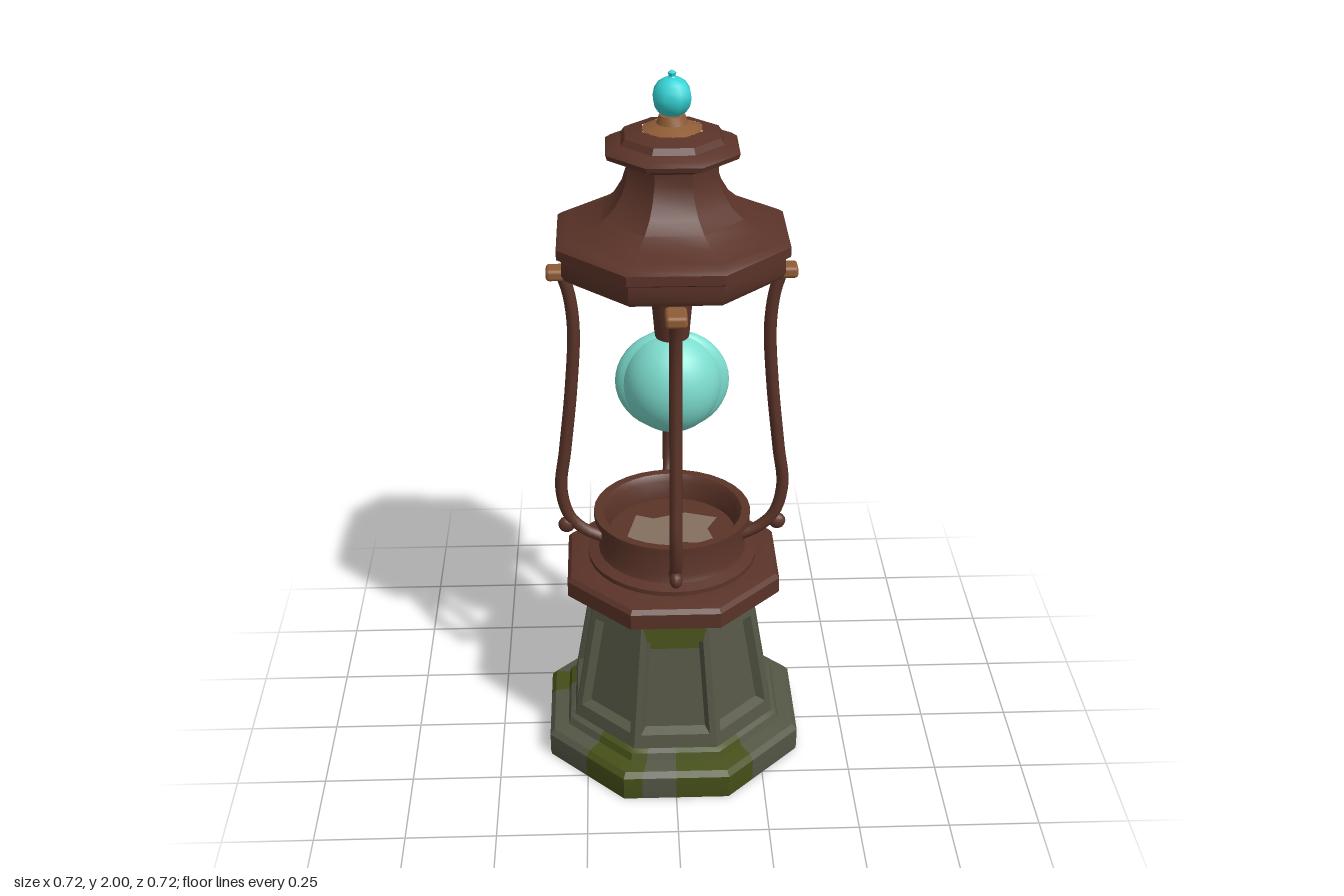
import * as THREE from 'three';
import { toCreasedNormals } from 'three/addons/utils/BufferGeometryUtils.js';
import { RoundedBoxGeometry } from 'three/addons/geometries/RoundedBoxGeometry.js';

const mat = (name, color, extra = {}) => {
  const m = new THREE.MeshStandardMaterial({ color, ...extra });
  m.name = name;
  return m;
};
const V2 = (pts) => pts.map(([r, y]) => new THREE.Vector2(r, y));

function addMesh(parent, name, geometry, material) {
  const mesh = new THREE.Mesh(geometry, material);
  mesh.name = name;
  parent.add(mesh);
  return mesh;
}

// Eight-sided lathe: profile radii are distances to the flats.
// pick(angleInDegrees, row) chooses the material index of each cell.
function octLathe(profile, perSide = 1, pick = null) {
  const segs = perSide * 8;
  const geo = new THREE.LatheGeometry(V2(profile), segs, -Math.PI / 8);
  const pos = geo.attributes.position;
  const side = Math.PI / 4;
  for (let i = 0; i <= segs; i++) {
    const phi = -Math.PI / 8 + (i / segs) * Math.PI * 2;
    const k = 1 / Math.cos(phi - Math.round(phi / side) * side);
    for (let j = 0; j < profile.length; j++) {
      const n = i * profile.length + j;
      pos.setX(n, pos.getX(n) * k);
      pos.setZ(n, pos.getZ(n) * k);
    }
  }
  if (pick) {
    const rows = profile.length - 1;
    for (let i = 0; i < segs; i++) {
      const deg = (-22.5 + ((i + 0.5) / segs) * 360 + 360) % 360;
      for (let j = 0; j < rows; j++) geo.addGroup((i * rows + j) * 6, 6, pick(deg, j));
    }
  }
  return toCreasedNormals(geo, 0.5);
}

const roundLathe = (profile, segs = 32) =>
  toCreasedNormals(new THREE.LatheGeometry(V2(profile), segs), 0.6);

// One pedestal side: a sloping frame around a recessed panel; mossy upper cells go to group 1.
function panelSide(mossy) {
  const y0 = 0.115, y1 = 0.505, a0 = 0.285, a1 = 0.222;
  const tan = Math.tan(Math.PI / 8);
  const point = (sx, y, margin, depth) => {
    const a = a0 + ((a1 - a0) * (y - y0)) / (y1 - y0);
    return [sx * (a * tan - margin), y, a - depth];
  };
  const ring = (lo, hi, m, d) =>
    [[-1, lo], [1, lo], [1, hi], [-1, hi]].map(([s, y]) => point(s, y, m, d));
  const outer = ring(y0, y1, 0, 0);
  const frame = ring(0.16, 0.445, 0.018, 0);
  const inner = ring(0.172, 0.433, 0.03, 0.024);
  const split = ring(0.41, 0.433, 0.03, 0.024);
  const stone = [], moss = [];
  const quad = (list, a, b, c, d) => list.push(...a, ...b, ...d, ...b, ...c, ...d);
  for (let i = 0; i < 4; i++) {
    const k = (i + 1) % 4;
    const list = mossy && i === 2 ? moss : stone;
    quad(list, outer[i], outer[k], frame[k], frame[i]);
    quad(list, frame[i], frame[k], inner[k], inner[i]);
  }
  quad(stone, inner[0], inner[1], split[1], split[0]);
  quad(mossy ? moss : stone, ...split);
  const geo = new THREE.BufferGeometry();
  geo.setAttribute('position', new THREE.Float32BufferAttribute([...stone, ...moss], 3));
  geo.computeVertexNormals();
  geo.addGroup(0, stone.length / 3, 0);
  if (moss.length) geo.addGroup(stone.length / 3, moss.length / 3, 1);
  return geo;
}

export function createModel() {
  const model = new THREE.Group();
  model.name = 'lantern';
  const stone = mat('grey stone', 0x545645);
  const moss = mat('moss green', 0x465019);
  const bronze = mat('dark bronze', 0x5a3328);
  const copper = mat('worn copper', 0x8f5c36);
  const glass = mat('pale glow', 0x7cdccd);
  const gem = mat('cyan gem', 0x35d4d6);
  const ash = mat('ash', 0x85705f, { side: THREE.DoubleSide });

  // Stone plinth with moss creeping over some stretches
  const mossRanges = [[0, 36], [132, 180], [247, 264], [318, 345]];
  const isMoss = (deg, row) =>
    row > 0 && mossRanges.some(([a, b]) => deg > a && deg < b) ? 1 : 0;
  addMesh(model, 'plinth', octLathe([
    [0, 0], [0.356, 0], [0.358, 0.015], [0.358, 0.07], [0.345, 0.085],
    [0.305, 0.092], [0.298, 0.112], [0.285, 0.12], [0.2, 0.12],
  ], 6, isMoss), [stone, moss]);

  // Tapered pedestal with eight recessed panels
  const pedestal = new THREE.Group();
  pedestal.name = 'pedestal';
  model.add(pedestal);
  for (let i = 0; i < 8; i++) {
    const mossy = [0, 3, 4, 6].includes(i);
    addMesh(pedestal, 'pedestalSide', panelSide(mossy), [stone, moss]).rotation.y = (i * Math.PI) / 4;
  }
  addMesh(pedestal, 'pedestalNeck', octLathe([
    [0.222, 0.5], [0.228, 0.508], [0.228, 0.525], [0.2, 0.53],
  ]), moss);

  // Bronze collar and hollow round cup
  addMesh(model, 'collar', octLathe([
    [0, 0.522], [0.28, 0.525], [0.295, 0.533], [0.295, 0.578],
    [0.285, 0.59], [0.24, 0.6], [0, 0.6],
  ]), bronze);
  addMesh(model, 'cup', roundLathe([
    [0.237, 0.595], [0.237, 0.613], [0.207, 0.622], [0.2, 0.64], [0.2, 0.712], [0.219, 0.718],
    [0.219, 0.738], [0.195, 0.738], [0.182, 0.72], [0.178, 0.665], [0, 0.665],
  ]), bronze);
  const patch = new THREE.Shape(V2([
    [-0.13, -0.05], [-0.04, -0.1], [0.03, -0.07], [0.12, -0.08], [0.1, 0],
    [0.13, 0.06], [0.04, 0.09], [-0.05, 0.06], [-0.1, 0.08],
  ]));
  const ashPatch = addMesh(model, 'cupAsh', new THREE.ShapeGeometry(patch), ash);
  ashPatch.rotation.x = -Math.PI / 2;
  ashPatch.position.y = 0.669;

  // Four curved posts with a curl at the foot and a copper pad on top
  const path = new THREE.CatmullRomCurve3([
    [0.288, 1.455], [0.272, 1.4], [0.262, 1.3], [0.272, 1.13], [0.294, 0.93],
    [0.308, 0.81], [0.287, 0.72], [0.245, 0.675], [0.195, 0.65],
  ].map(([x, y]) => new THREE.Vector3(x, y, 0)));
  const tube = new THREE.TubeGeometry(path, 40, 0.017, 8);
  const pad = new RoundedBoxGeometry(0.074, 0.032, 0.056, 2, 0.01);
  const curl = new THREE.SphereGeometry(0.024, 12, 8);
  for (let i = 0; i < 4; i++) {
    const post = new THREE.Group();
    post.name = 'post';
    post.rotation.y = (i * Math.PI) / 2;
    addMesh(post, 'postRod', tube, bronze);
    addMesh(post, 'postPad', pad, copper).position.set(0.293, 1.46, 0);
    const c = addMesh(post, 'postCurl', curl, bronze);
    c.position.set(0.296, 0.692, 0);
    c.scale.z = 0.75;
    model.add(post);
  }

  // Bell-shaped roof and its flared cap
  addMesh(model, 'roof', octLathe([
    [0, 1.5], [0.255, 1.5], [0.265, 1.485], [0.278, 1.485], [0.286, 1.5], [0.286, 1.54],
    [0.298, 1.547], [0.298, 1.573], [0.285, 1.582], [0.265, 1.59], [0.22, 1.605],
    [0.18, 1.63], [0.148, 1.66], [0.128, 1.695], [0.116, 1.735], [0.116, 1.768],
    [0.13, 1.776], [0.165, 1.79], [0.169, 1.803], [0.155, 1.813], [0.13, 1.822],
    [0.12, 1.838], [0.075, 1.85],
  ]), bronze);
  addMesh(model, 'roofCrown', roundLathe([
    [0.078, 1.849], [0.06, 1.857], [0.04, 1.864], [0.033, 1.885], [0, 1.89],
  ], 16), copper);

  // Gem finial
  const ball = new THREE.SphereGeometry(0.052, 8, 8);
  ball.rotateY(Math.PI / 8);
  addMesh(model, 'finialGem', ball, gem).position.y = 1.931;
  addMesh(model, 'finialTip', roundLathe([
    [0.014, 1.975], [0.008, 1.984], [0.011, 1.993], [0, 2],
  ], 8), gem);

  // Socket hanging under the roof
  addMesh(model, 'socket', roundLathe([
    [0, 1.27], [0.046, 1.27], [0.048, 1.3], [0.058, 1.415], [0.058, 1.44], [0.066, 1.445], [0.066, 1.505],
  ], 24), bronze);
  addMesh(model, 'socketRing', roundLathe([
    [0.055, 1.415], [0.067, 1.42], [0.067, 1.432], [0.055, 1.437],
  ], 24), copper);

  // Glowing bulb with a flange around its middle
  const bulb = new THREE.Group();
  bulb.name = 'bulb';
  bulb.position.y = 1.14;
  model.add(bulb);
  const sphere = new THREE.SphereGeometry(1, 32, 20);
  addMesh(bulb, 'bulbCore', sphere, glass).scale.set(0.134, 0.144, 0.125);
  addMesh(bulb, 'bulbFlange', sphere, glass).scale.set(0.154, 0.15, 0.05);

  return model;
}
